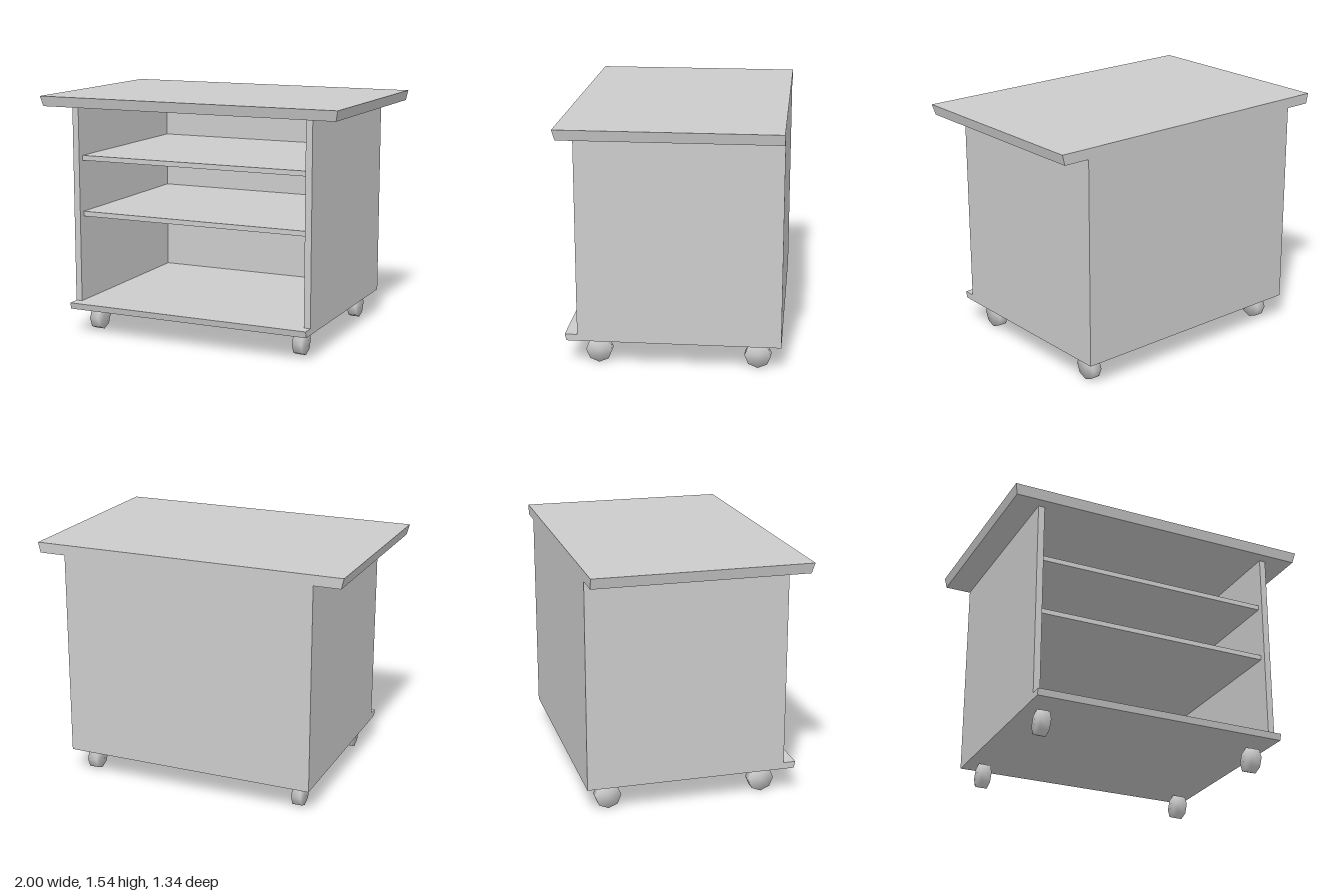
import * as THREE from 'three';
import { mergeVertices } from 'three/addons/utils/BufferGeometryUtils.js';

const material = new THREE.MeshStandardMaterial({ color: 0xcccccc });
const BACK = -0.67;

function addMesh(group, name, geometry) {
  const mesh = new THREE.Mesh(geometry, material);
  mesh.name = name;
  group.add(mesh);
  return mesh;
}

// Board given by its min/max limits; the lower edge can be inset at the sides and front
function board([x0, x1], [y0, y1], [z0, z1], sideInset = 0, frontInset = 0) {
  const geometry = new THREE.BoxGeometry(x1 - x0, y1 - y0, z1 - z0);
  const p = geometry.attributes.position;
  for (let i = 0; i < p.count; i++) {
    if (p.getY(i) > 0) continue;
    p.setX(i, p.getX(i) - Math.sign(p.getX(i)) * sideInset);
    if (p.getZ(i) > 0) p.setZ(i, p.getZ(i) - frontInset);
  }
  geometry.translate((x0 + x1) / 2, (y0 + y1) / 2, (z0 + z1) / 2);
  geometry.computeVertexNormals();
  return geometry;
}

// Eight-sided wheel with normals smoothed over the rim
function wheelGeometry() {
  let geometry = new THREE.CylinderGeometry(0.082, 0.082, 0.06, 8);
  geometry.deleteAttribute('normal');
  geometry.deleteAttribute('uv');
  geometry = mergeVertices(geometry);
  geometry.rotateZ(Math.PI / 2);
  geometry.computeVertexNormals();
  return geometry;
}

export function createModel() {
  const group = new THREE.Group();
  group.name = 'shelfCart';

  // Worktop and base with slanted edges
  addMesh(group, 'worktop', board([-1, 1], [1.472, 1.537], [BACK, 0.67], 0.015, 0.016));
  addMesh(group, 'base', board([-0.815, 0.815], [0.167, 0.208], [BACK, 0.66], 0, 0.01));

  // Cabinet walls
  addMesh(group, 'leftSide', board([0.773, 0.815], [0.208, 1.472], [BACK, 0.583]));
  addMesh(group, 'rightSide', board([-0.815, -0.773], [0.208, 1.472], [BACK, 0.583]));
  addMesh(group, 'backPanel', board([-0.773, 0.773], [0.208, 1.472], [BACK, BACK + 0.04]));

  // Shelves
  for (const [name, y] of [['lowerShelf', 0.76], ['upperShelf', 1.123]]) {
    addMesh(group, name, board([-0.773, 0.773], [y, y + 0.032], [BACK + 0.04, 0.54]));
  }

  // Wheels
  const wheel = wheelGeometry();
  for (const [side, x] of [['Left', 0.71], ['Right', -0.71]]) {
    for (const [end, z] of [['front', 0.46], ['back', -0.525]]) {
      addMesh(group, `${end}${side}Wheel`, wheel).position.set(x, 0.083, z);
    }
  }
  return group;
}
